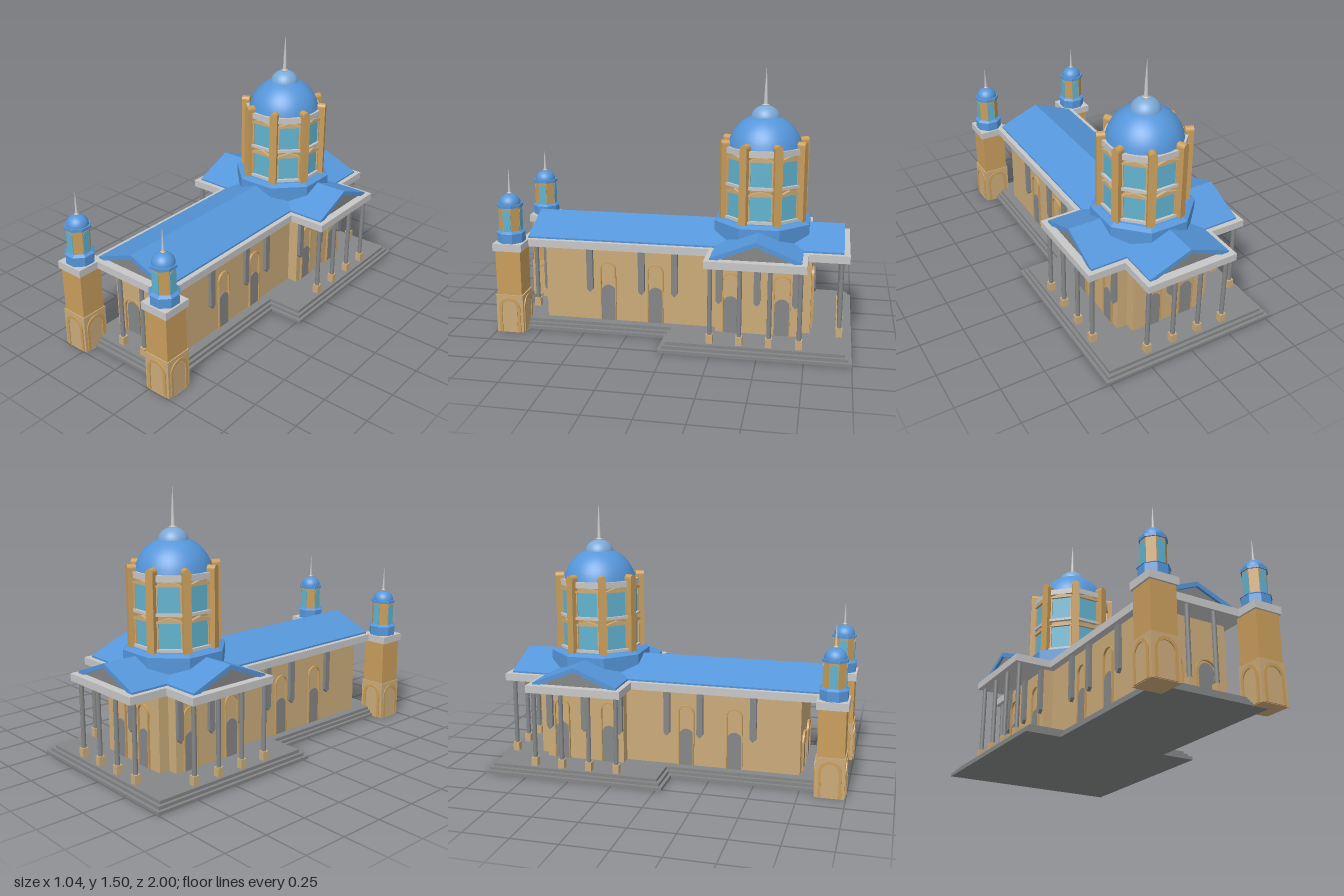
import * as THREE from 'three';

const mat = (name, color) => {
  const m = new THREE.MeshStandardMaterial({ color });
  m.name = name;
  return m;
};

export function createModel() {
  const root = new THREE.Group();
  root.name = 'cathedral';
  const wall = mat('pale stucco', 0xcbab7a);
  const ochre = mat('ochre stucco', 0xc99e5c);
  const grey = mat('grey stone', 0x858687);
  const pale = mat('pale cornice', 0xc6c7c6);
  const blue = mat('blue roof', 0x5596da);
  const sky = mat('light blue cap', 0x7ba9d8);
  const glass = mat('window glass', 0x62b3cf);

  const add = (parent, name, geo, material, x = 0, y = 0, z = 0, ry = 0) => {
    const m = new THREE.Mesh(geo, material);
    m.name = name;
    m.position.set(x, y, z);
    m.rotation.y = ry;
    parent.add(m);
    return m;
  };
  const group = (parent, name, x = 0, y = 0, z = 0, ry = 0) => {
    const g = new THREE.Group();
    g.name = name;
    g.position.set(x, y, z);
    g.rotation.y = ry;
    parent.add(g);
    return g;
  };
  const box = (w, h, d) => new THREE.BoxGeometry(w, h, d);
  const poly = pts => new THREE.Shape(pts.map(p => new THREE.Vector2(...p)));
  const extrude = (shape, depth) =>
    new THREE.ExtrudeGeometry(shape, { depth, bevelEnabled: false, curveSegments: 10 });
  // Plan outline in (x, z), raised from y0 to y1
  const plan = (pts, y0, y1) => extrude(poly(pts), y1 - y0).rotateX(Math.PI / 2).translate(0, y1, 0);
  // Faceted octagonal prism with a flat side facing each axis; radii are apothems
  const octagon = (top, bottom, y0, y1) => {
    const k = 1 / Math.cos(Math.PI / 8);
    const g = new THREE.CylinderGeometry(top * k, bottom * k, y1 - y0, 8)
      .rotateY(Math.PI / 8).translate(0, (y0 + y1) / 2, 0).toNonIndexed();
    g.computeVertexNormals();
    return g;
  };
  const lathe = (pts, seg = 32) => new THREE.LatheGeometry(pts.map(p => new THREE.Vector2(...p)), seg);
  const archPath = (w, h, Type = THREE.Shape) => {
    const s = new Type();
    s.moveTo(-w / 2, 0);
    s.lineTo(w / 2, 0);
    s.lineTo(w / 2, h - w / 2);
    s.absarc(0, h - w / 2, w / 2, 0, Math.PI, false);
    s.lineTo(-w / 2, 0);
    return s;
  };
  const arch = (w, h, d) => extrude(archPath(w, h), d);
  const archRing = (w, h, t, d) => {
    const s = archPath(w, h);
    s.holes.push(archPath(w - 2 * t, h - t, THREE.Path));
    return extrude(s, d);
  };
  const CZ = -0.48; // centre of the crossing

  // Three steps on a T-shaped plan
  [0, 0.018, 0.036].forEach((i, n) => {
    const a = 0.52 - i, b = 0.32 - i, zb = -1 + i, zm = 0.035 - i, zf = 0.925 - i;
    add(root, 'step', plan([[-a, zb], [a, zb], [a, zm], [b, zm], [b, zf], [-b, zf], [-b, zm], [-a, zm]],
      n * 0.0175, (n + 1) * 0.0175), grey);
  });

  // Cross-shaped plan used by walls and cornice
  const cross = (n, t, back, front, h, y0, y1) => plan([
    [-n, back], [n, back], [n, CZ - h], [t, CZ - h], [t, CZ + h], [n, CZ + h], [n, front],
    [-n, front], [-n, CZ + h], [-t, CZ + h], [-t, CZ - h], [-n, CZ - h]], y0, y1);
  add(root, 'walls', cross(0.23, 0.29, -0.77, 0.74, 0.23, 0.05, 0.485), wall);
  add(root, 'cornice', cross(0.272, 0.485, -0.973, 0.873, 0.272, 0.482, 0.524), pale);

  // Gabled roofs with recessed pediments
  const roofShape = poly([[-0.243, 0.524], [-0.2, 0.524], [0, 0.607], [0.2, 0.524],
    [0.243, 0.524], [0.243, 0.534], [0, 0.632], [-0.243, 0.534]]);
  const pediment = poly([[-0.2, 0.524], [0.2, 0.524], [0, 0.607]]);
  [['nave', 1.781, -0.05, 0], ['transept', 0.91, CZ, Math.PI / 2]].forEach(([n, len, z, ry]) => {
    const g = group(root, n + 'Roof', 0, 0, z, ry);
    add(g, 'roofSlab', extrude(roofShape, len).translate(0, 0, -len / 2), blue);
    add(g, 'pediment', extrude(pediment, len - 0.03).translate(0, 0, 0.015 - len / 2), grey);
  });

  // Portico columns
  const column = (x, z) => {
    const g = group(root, 'column', x, 0, z);
    add(g, 'columnBase', box(0.036, 0.05, 0.036), wall, 0, 0.077, 0);
    add(g, 'columnShaft', new THREE.CylinderGeometry(0.0125, 0.0125, 0.385, 12), grey, 0, 0.292, 0);
  };
  [-0.24, -0.08, 0.08, 0.24].forEach(t => {
    column(t, -0.93);
    column(-0.45, CZ + t);
    column(0.45, CZ + t);
    if (Math.abs(t) < 0.1) column(t, 0.852);
  });

  // Arched openings and pointed hanging pilasters
  const opening = (x, z, ry, w, h, dw, dh) => {
    const g = group(root, 'archedOpening', x, 0.052, z, ry);
    add(g, 'archFrame', archRing(w, h, 0.006, 0.012), ochre);
    add(g, 'door', arch(dw, dh, 0.006), grey);
  };
  const pilasterShape = poly([[-0.018, 0.24], [0, 0.22], [0.018, 0.24], [0.018, 0.482], [-0.018, 0.482]]);
  [-1, 1].forEach(s => {
    const ry = s * Math.PI / 2;
    [0.375, 0.1].forEach(z => opening(s * 0.23, z, ry, 0.092, 0.35, 0.08, 0.213));
    [-0.335, -0.617].forEach(z => opening(s * 0.29, z, ry, 0.092, 0.35, 0.08, 0.213));
    [0.48, 0.18, -0.01].forEach(z => add(root, 'pilaster', extrude(pilasterShape, 0.02), grey, s * 0.23, 0, z, ry));
    [-0.27, CZ, -0.69].forEach(z => add(root, 'pilaster', extrude(pilasterShape, 0.02), grey, s * 0.29, 0, z, ry));
    opening(s * 0.102, 0.74, 0, 0.125, 0.218, 0.088, 0.2);
    opening(s * 0.102, -0.77, Math.PI, 0.092, 0.35, 0.08, 0.213);
  });
  add(root, 'pilaster', extrude(pilasterShape, 0.02), grey, 0, 0, -0.77, Math.PI);

  // Bell towers
  const spire = (r, h) => lathe([[0, 0], [r * 1.9, 0], [r * 1.9, 0.008], [r, 0.012], [r * 0.7, h * 0.5], [0, h]], 10);
  [-1, 1].forEach(s => {
    const t = group(root, s > 0 ? 'leftTower' : 'rightTower', s * 0.307, 0, 0.915);
    add(t, 'towerBase', box(0.157, 0.223, 0.157), wall, 0, 0.1115, 0);
    add(t, 'towerShaft', box(0.145, 0.26, 0.145), ochre, 0, 0.352, 0);
    add(t, 'towerCornice', box(0.168, 0.042, 0.168), pale, 0, 0.503, 0);
    for (let i = 0; i < 4; i++) {
      const f = group(t, 'towerFace', 0, 0, 0, i * Math.PI / 2);
      add(f, 'outerArch', archRing(0.125, 0.203, 0.017, 0.006), ochre, 0, 0.002, 0.0785);
      add(f, 'innerArch', arch(0.085, 0.183, 0.003), wall, 0, 0.002, 0.0785);
      add(f, 'lanternWindow', arch(0.044, 0.125, 0.004), glass, 0, 0.592, 0.059);
    }
    add(t, 'lanternBase', octagon(0.073, 0.073, 0.524, 0.58), blue);
    add(t, 'lanternLedge', octagon(0.062, 0.078, 0.58, 0.592), blue);
    add(t, 'lantern', octagon(0.06, 0.06, 0.59, 0.73), ochre);
    add(t, 'lanternEaves', octagon(0.067, 0.067, 0.726, 0.742), blue);
    const d = add(t, 'lanternDome', new THREE.SphereGeometry(0.06, 24, 10, 0, Math.PI * 2, 0, Math.PI / 2), blue, 0, 0.742, 0);
    d.scale.y = 0.93;
    add(t, 'lanternSpire', spire(0.007, 0.142), pale, 0, 0.796, 0);
  });

  // Octagonal drum over the crossing
  const drum = group(root, 'drum', 0, 0, CZ);
  add(drum, 'drumSkirt', octagon(0.265, 0.265, 0.527, 0.645), blue);
  add(drum, 'drumSkirtTop', octagon(0.235, 0.265, 0.645, 0.66), blue);
  add(drum, 'drumWall', octagon(0.203, 0.203, 0.655, 1.04), ochre);
  add(drum, 'drumCornice', octagon(0.218, 0.218, 1.032, 1.066), pale);
  const gable = poly([[-0.07, 0], [0.07, 0], [0.07, 0.008], [0, 0.028], [-0.07, 0.008]]);
  for (let i = 0; i < 8; i++) {
    const f = group(drum, 'drumBay', 0, 0, 0, i * Math.PI / 4);
    [0.662, 0.852].forEach(y => {
      add(f, 'windowSill', box(0.14, 0.016, 0.026), pale, 0, y + 0.008, 0.21);
      add(f, 'windowPane', box(0.118, 0.14, 0.006), glass, 0, y + 0.086, 0.205);
      [-1, 1].forEach(s => add(f, 'windowJamb', box(0.01, 0.142, 0.016), wall, s * 0.063, y + 0.087, 0.208));
      add(f, 'windowGable', extrude(gable, 0.022), wall, 0, y + 0.154, 0.2);
    });
    const p = group(drum, 'drumPillarMount', 0, 0, 0, (i + 0.5) * Math.PI / 4);
    add(p, 'drumPillar', arch(0.044, 0.447, 0.047), ochre, 0, 0.656, 0.208);
  }

  // Main dome, cap and spire
  const dome = [[0.207, 1.064]];
  for (let i = 0; i <= 12; i++) {
    const a = 0.17 + (Math.PI / 2 - 0.17) * i / 12;
    dome.push([0.21 * Math.cos(a), 1.03 + 0.21 * Math.sin(a)]);
  }
  add(drum, 'mainDome', lathe(dome.slice(1), 40), blue);
  add(drum, 'domeCap', new THREE.SphereGeometry(0.082, 28, 12, 0, Math.PI * 2, 0, Math.PI / 2), sky, 0, 1.213, 0)
    .scale.y = 0.9;
  add(drum, 'mainSpire', spire(0.011, 0.217), pale, 0, 1.283, 0);
  return root;
}
